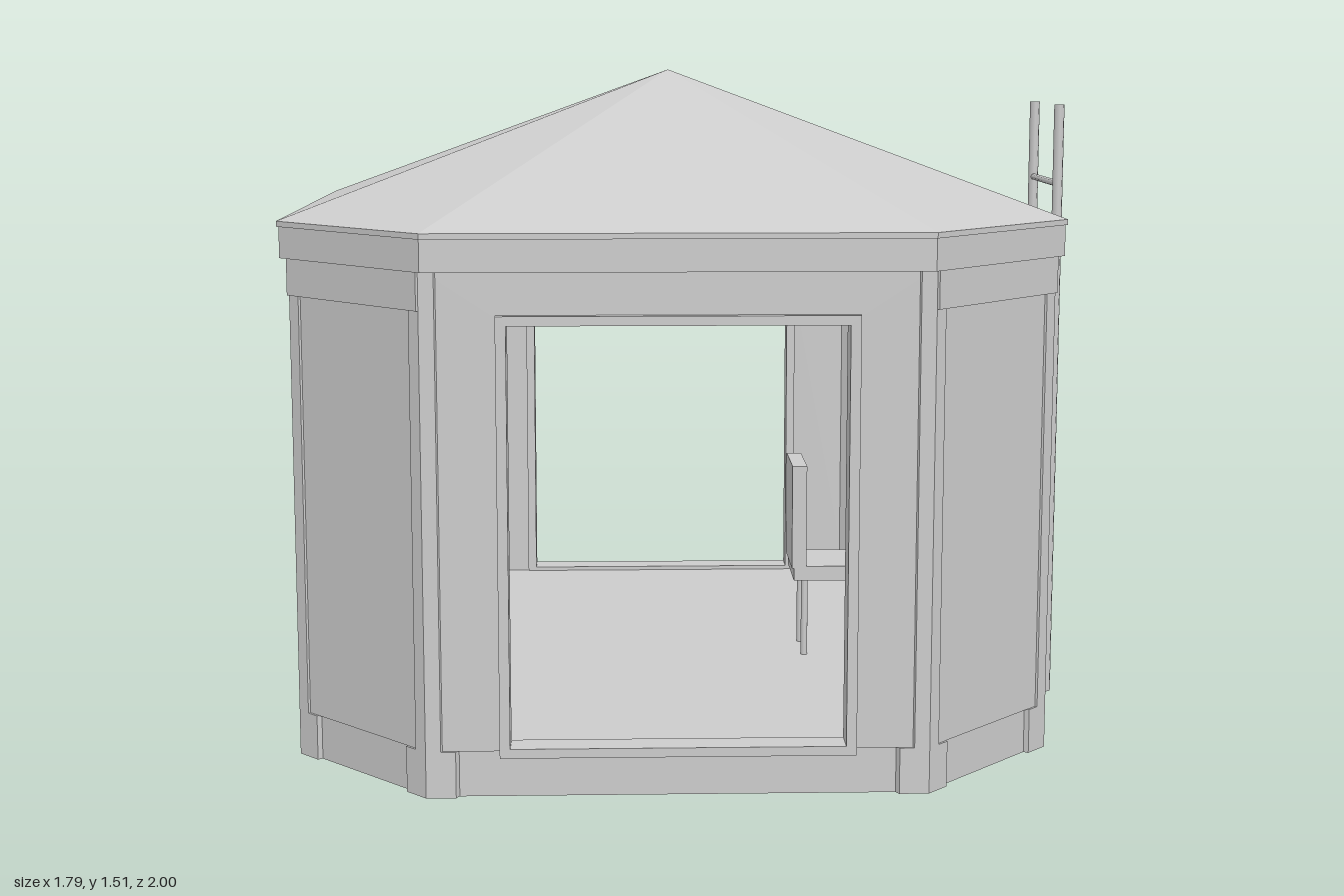
import * as THREE from 'three';

const CX = -0.025, CZ = 0.13; // centre of the octagonal plan
const HX = 0.835, HZ = 0.84, K = 0.53; // wall half sizes and half length of the long sides

export function createModel() {
  const model = new THREE.Group();
  model.name = 'pavilion';
  const grey = new THREE.MeshStandardMaterial({ color: 0xcccccc });
  grey.name = 'light grey';

  const add = (name, geometry, parent = model) => {
    const mesh = new THREE.Mesh(geometry, grey);
    mesh.name = name;
    parent.add(mesh);
    return mesh;
  };
  const box = (name, x0, x1, y0, y1, z0, z1, parent) => {
    const m = add(name, new THREE.BoxGeometry(x1 - x0, y1 - y0, z1 - z0), parent);
    m.position.set((x0 + x1) / 2, (y0 + y1) / 2, (z0 + z1) / 2);
    return m;
  };
  const rod = (name, a, b, r, parent) => {
    const p = new THREE.Vector3(...a), q = new THREE.Vector3(...b), d = q.clone().sub(p);
    const m = add(name, new THREE.CylinderGeometry(r, r, d.length(), 8), parent);
    m.position.copy(p).add(q).multiplyScalar(0.5);
    m.quaternion.setFromUnitVectors(new THREE.Vector3(0, 1, 0), d.normalize());
    return m;
  };

  // Octagon corners as (x, z), running anticlockwise seen from above
  const octagon = (hx, hz, k) => [
    [k, hz], [hx, k], [hx, -k], [k, -hz], [-k, -hz], [-hx, -k], [-hx, k], [-k, hz],
  ].map(([x, z]) => new THREE.Vector2(x, z));
  // Upright prism over a plan outline
  const prism = (name, plan, y0, y1, parent) => {
    const shape = new THREE.Shape(plan.map(p => new THREE.Vector2(p.x, -p.y)));
    const g = new THREE.ExtrudeGeometry(shape, { depth: y1 - y0, bevelEnabled: false });
    return add(name, g.rotateX(-Math.PI / 2).translate(0, y0, 0), parent);
  };

  const house = new THREE.Group();
  house.name = 'house';
  house.position.set(CX, 0, CZ);
  model.add(house);

  // Floor, eaves and roof
  prism('floor', octagon(HX - 0.012, HZ - 0.012, K - 0.005), 0, 0.1, house);
  prism('eaves', octagon(0.855, 0.86, 0.525), 1.11, 1.18, house);
  prism('roofEdge', octagon(0.86, 0.868, 0.525), 1.178, 1.19, house);
  const rim = octagon(0.86, 0.868, 0.525), tris = [];
  rim.forEach((p, i) => {
    const q = rim[(i + 1) % 8];
    tris.push(p.x, 1.19, p.y, q.x, 1.19, q.y, 0, 1.51, 0);
  });
  const roof = new THREE.BufferGeometry();
  roof.setAttribute('position', new THREE.Float32BufferAttribute(tris, 3));
  roof.computeVertexNormals();
  add('roof', roof, house);

  // Corner posts and the wider feet beneath them
  const corners = octagon(HX, HZ, K);
  const cornerPiece = (name, i, w, y0, y1) => {
    const p = corners[i];
    const arm = j => corners[j % 8].clone().sub(p).setLength(w).add(p);
    const a = arm(i + 7), b = arm(i + 1);
    const inner = v => v.clone().multiplyScalar(0.95);
    prism(name, [a, p, b, inner(b), inner(p), inner(a)], y0, y1, house);
  };
  for (let i = 0; i < 8; i++) {
    cornerPiece('cornerPost', i, 0.032, 0.1, 1.11);
    cornerPiece('cornerFoot', i, 0.063, 0, 0.1);
  }

  // Rectangle outlines for walls and frames, each with an optional opening
  const rect = (T, w, y0, y1) => {
    const s = new T();
    s.moveTo(-w, y0); s.lineTo(w, y0); s.lineTo(w, y1); s.lineTo(-w, y1); s.closePath();
    return s;
  };
  const panel = (name, outer, hole, z0, depth, parent) => {
    const s = rect(THREE.Shape, ...outer);
    if (hole) s.holes.push(rect(THREE.Path, ...hole));
    const g = new THREE.ExtrudeGeometry(s, { depth, bevelEnabled: false });
    return add(name, g.translate(0, 0, z0), parent);
  };
  const doorway = [0.352, 0.11, 1.0], windowHole = [0.225, 0.52, 1.0];
  const openings = { 7: doorway, 3: doorway, 5: windowHole };

  for (let i = 0; i < 8; i++) {
    const p = corners[i], q = corners[(i + 1) % 8];
    const wall = new THREE.Group();
    wall.name = 'wallSide';
    wall.position.set((p.x + q.x) / 2, 0, (p.y + q.y) / 2);
    wall.rotation.y = Math.atan2(p.y - q.y, q.x - p.x);
    house.add(wall);
    const half = p.distanceTo(q) / 2, hole = openings[i];
    panel('wall', [half - 0.01, 0.1, 1.11], hole, -0.045, 0.04, wall);
    if (hole) { // trim around the opening
      const [w, y0, y1] = hole;
      panel('openingFrame', [w + 0.022, y0 - 0.02, y1 + 0.02], hole, -0.05, 0.065, wall);
    }
    if (hole === windowHole) box('windowSill', -0.25, 0.25, 0.492, 0.522, -0.05, 0.035, wall);
    if (i % 2 === 0) box('friezeBoard', -half, half, 1.03, 1.11, -0.02, 0.006, wall); // slanted sides
  }

  // Awning over the back opening
  box('awning', -0.52, 0.465, 1.1, 1.145, -1, -0.7);
  for (const x of [-0.38, 0.335]) rod('awningBrace', [x, 0.99, -0.715], [x, 1.1, -0.985], 0.009);

  // Ladder on the left wall
  const ladder = new THREE.Group();
  ladder.name = 'ladder';
  model.add(ladder);
  const LX = 0.885, rails = [-0.015, 0.285];
  for (const z of rails) {
    rod('ladderRail', [LX, 0.02, z], [LX, 1.43, z], 0.012, ladder);
    for (const y of [0.125, 0.485, 0.85]) rod('ladderBracket', [0.79, y, z], [LX, y, z], 0.009, ladder);
  }
  for (let i = 0; i < 13; i++) {
    const y = 0.088 + i * 0.0965;
    rod('ladderRung', [LX, y, rails[0]], [LX, y, rails[1]], 0.008, ladder);
  }

  // Cabinet under the window
  box('cabinet', -0.75, -0.51, 0.135, 0.72, 0.07, 0.36);
  for (const x of [-0.735, -0.525]) for (const z of [0.085, 0.345])
    box('cabinetFoot', x - 0.015, x + 0.015, 0.1, 0.135, z - 0.015, z + 0.015);

  // Desk against the left wall
  box('deskTop', 0.47, 0.76, 0.44, 0.475, -0.1, 0.46);
  box('deskDrawers', 0.5, 0.75, 0.1, 0.44, -0.09, 0.07);
  box('deskSide', 0.5, 0.75, 0.1, 0.44, 0.42, 0.45);

  // Chair facing the desk
  box('chairSeat', 0.275, 0.46, 0.29, 0.325, 0.08, 0.26);
  box('chairBack', 0.27, 0.305, 0.32, 0.57, 0.08, 0.26);
  for (const x of [0.303, 0.43]) for (const z of [0.11, 0.23])
    rod('chairLeg', [x, 0.1, z], [x, 0.29, z], 0.008);

  return model;
}
